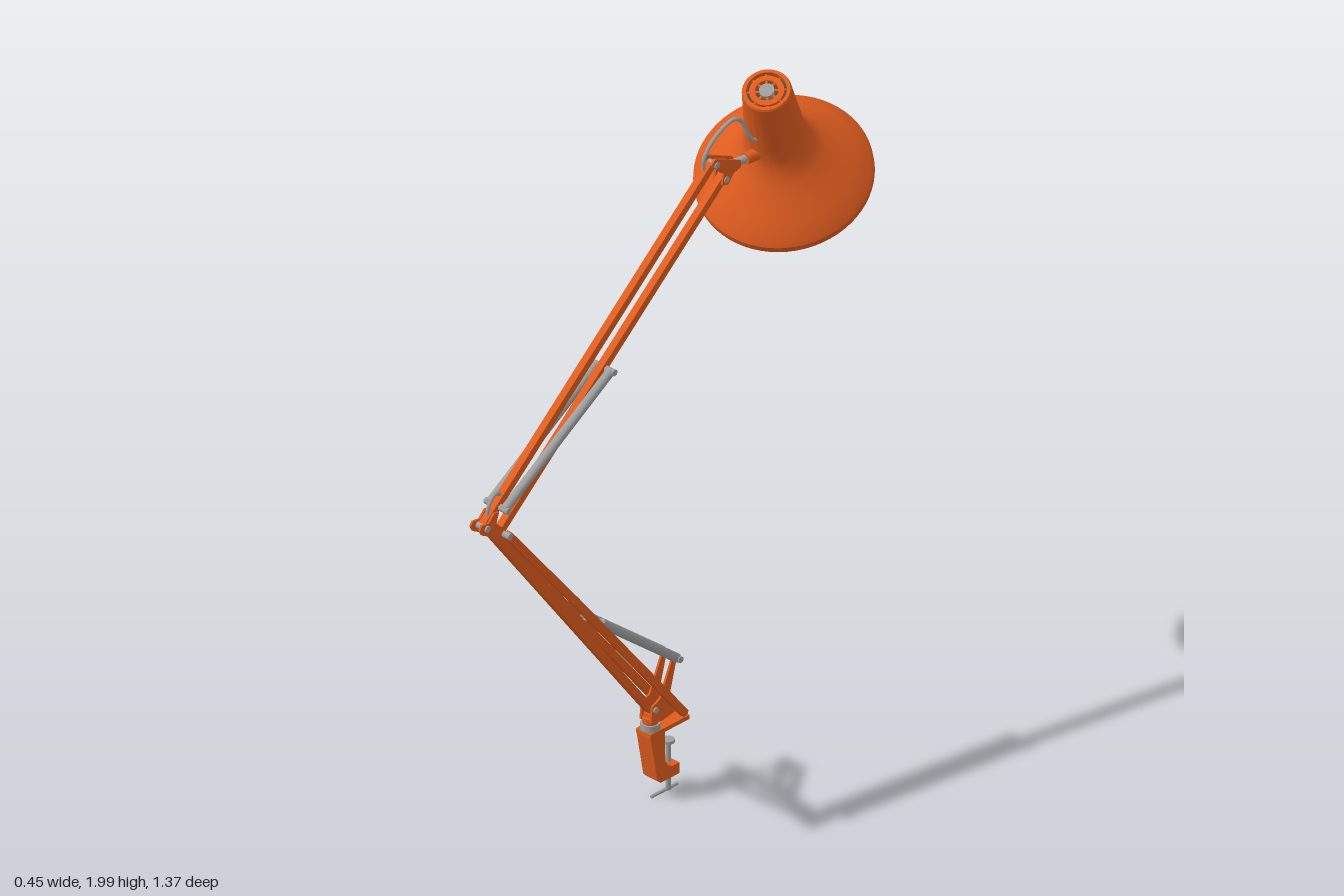
import * as THREE from 'three';
import { toCreasedNormals } from 'three/addons/utils/BufferGeometryUtils.js';

const mat = (name, color) => new THREE.MeshStandardMaterial({ name, color });
const V = (x, y, z) => new THREE.Vector3(x, y, z);

export function createModel() {
  const orange = mat('orangePaint', 0xdf5c1f);
  const steel = mat('steel', 0x9e9e9e);
  const dark = mat('darkMetal', 0x4c4a48);
  const silver = mat('silverLining', 0xb8b8b8);
  const glass = mat('bulbGlass', 0xa8a8a8);

  const lamp = new THREE.Group();
  lamp.name = 'deskLamp';
  // Everything but the shade is laid out around the plane of the arm
  const arm = new THREE.Group();
  arm.name = 'armAssembly';
  arm.position.x = 0.037;
  lamp.add(arm);

  const add = (parent, name, geo, material) => {
    const m = new THREE.Mesh(geo, material);
    m.name = name;
    parent.add(m);
    return m;
  };
  // Places a z-aligned geometry between two points
  const between = (name, geo, material, a, b) => {
    const m = add(arm, name, geo, material);
    m.position.copy(a).add(b).multiplyScalar(0.5);
    m.quaternion.setFromRotationMatrix(new THREE.Matrix4().lookAt(b, a, V(0, 1, 0)));
    return m;
  };
  const bar = (name, a, b, w, h) =>
    between(name, new THREE.BoxGeometry(w, h, a.distanceTo(b)), orange, a, b);
  const rod = (name, a, b, r, material = steel, sides = 16) =>
    between(name, new THREE.CylinderGeometry(r, r, a.distanceTo(b), sides).rotateX(Math.PI / 2), material, a, b);
  const pin = (name, y, z, half, r, material = steel) =>
    rod(name, V(-half, y, z), V(half, y, z), r, material);
  const wire = (name, pts, r) =>
    add(arm, name, new THREE.TubeGeometry(new THREE.CatmullRomCurve3(pts), 40, r, 8), steel);
  // Plate drawn as [z, y] corners, with thickness along x
  const plate = (name, pts, thick, x = 0) => {
    const shape = new THREE.Shape(pts.map(([z, y]) => new THREE.Vector2(z, y)));
    const geo = new THREE.ExtrudeGeometry(shape, { depth: thick, bevelEnabled: false });
    geo.translate(0, 0, -thick / 2).rotateY(-Math.PI / 2);
    add(arm, name, geo, orange).position.x = x;
  };
  const lathe = (pts, sides = 48, crease = 0.45) =>
    toCreasedNormals(new THREE.LatheGeometry(pts.map(([r, y]) => new THREE.Vector2(r, y)), sides), crease);

  // Smooth spring tubes, in pairs between two cross pins
  const springs = (name, a, b) => {
    for (const s of [-1, 1]) {
      const off = V(s * 0.026, 0, 0);
      rod(name, a.clone().add(off), b.clone().add(off), 0.0125, steel, 20);
    }
    for (const p of [a, b]) pin(name + 'Pin', p.y, p.z, 0.041, 0.009);
  };

  // Clamp: top jaw, tapered spine and lower jaw
  bar('clampTopJaw', V(0, 0.211, 0.076), V(0, 0.211, -0.066), 0.052, 0.012);
  plate('clampBody', [[0.075, 0.21], [0.05, 0.072], [0.038, 0.06], [-0.03, 0.06], [-0.03, 0.092],
    [-0.005, 0.092], [0.012, 0.1], [0.022, 0.12], [0.022, 0.21]], 0.05);
  rod('clampScrew', V(0, 0.008, -0.015), V(0, 0.155, -0.015), 0.007);
  rod('clampPad', V(0, 0.149, -0.015), V(0, 0.157, -0.015), 0.017);
  rod('clampHandle', V(0, 0.012, 0.047), V(0, 0.012, -0.048), 0.0045);

  // Swivel post and base bracket
  rod('swivelPost', V(0, 0.215, 0.05), V(0, 0.235, 0.05), 0.026);
  rod('swivelCollar', V(0, 0.235, 0.05), V(0, 0.252, 0.05), 0.021, orange);
  for (const s of [-1, 1])
    plate('baseBracket', [[0.068, 0.245], [0.063, 0.292], [0.035, 0.305], [-0.012, 0.412], [-0.027, 0.408],
      [0.002, 0.3], [-0.03, 0.262], [-0.026, 0.247], [0.03, 0.238]], 0.006, s * 0.018);
  plate('bracketBridge', [[0.06, 0.24], [0.06, 0.262], [0.025, 0.262], [0.025, 0.24]], 0.036);

  // Lower arm: one central bar and a pair that closes in on the elbow
  bar('lowerFrontBar', V(0, 0.275, 0.054), V(0, 1.072, 0.652), 0.022, 0.021);
  for (const s of [-1, 1]) {
    const foot = V(s * 0.05, 0.252, -0.022), knee = V(s * 0.047, 0.76, 0.381), top = V(s * 0.03, 1.036, 0.6);
    bar('lowerRearBar', foot, knee, 0.017, 0.021);
    bar('lowerRearBarTaper', knee, top, 0.017, 0.021);
  }
  pin('footPin', 0.255, -0.02, 0.058, 0.008, orange);
  pin('frontFootPin', 0.28, 0.053, 0.026, 0.008);
  springs('lowerSpring', V(0, 0.405, -0.02), V(0, 0.625, 0.255));

  // Elbow plates, pins and tightening knob
  for (const s of [-1, 1])
    plate('elbowPlate', [[0.688, 1.078], [0.68, 1.062], [0.605, 1.02], [0.59, 1.03], [0.596, 1.045],
      [0.628, 1.075], [0.618, 1.105], [0.635, 1.108], [0.655, 1.087], [0.68, 1.09]], 0.006, s * 0.016);
  pin('elbowUpperPin', 1.074, 0.662, 0.024, 0.009);
  pin('elbowLowerPin', 1.033, 0.6, 0.042, 0.009);
  rod('elbowKnob', V(-0.064, 1.033, 0.6), V(-0.05, 1.033, 0.6), 0.017, dark, 10);
  rod('elbowKnobStem', V(-0.05, 1.033, 0.6), V(-0.03, 1.033, 0.6), 0.008, dark);
  wire('elbowCable', [V(0, 1.075, 0.645), V(0, 1.12, 0.638), V(0, 1.148, 0.615), V(0, 1.14, 0.596), V(0, 1.115, 0.59)], 0.005);

  // Upper arm
  bar('upperTopBar', V(0, 1.075, 0.655), V(0, 1.79, -0.17), 0.021, 0.021);
  bar('upperBottomBar', V(0, 1.034, 0.6), V(0, 1.738, -0.215), 0.021, 0.021);
  springs('upperSpring', V(0, 1.11, 0.605), V(0, 1.355, 0.22));

  // Head bracket and the joint holding the shade
  for (const s of [-1, 1])
    plate('headBracket', [[-0.155, 1.797], [-0.17, 1.81], [-0.2, 1.797], [-0.262, 1.768], [-0.262, 1.748],
      [-0.235, 1.74], [-0.215, 1.715], [-0.195, 1.722], [-0.2, 1.755], [-0.175, 1.785]], 0.006, s * 0.014);
  pin('headUpperPin', 1.79, -0.175, 0.02, 0.009);
  pin('headLowerPin', 1.733, -0.21, 0.02, 0.009);
  rod('shadeJoint', V(0, 1.757, -0.235), V(0.012, 1.757, -0.345), 0.011);
  rod('shadeJointCollar', V(0.006, 1.757, -0.288), V(0.011, 1.757, -0.335), 0.016, orange);
  wire('headCable', [V(0, 1.785, -0.143), V(0.002, 1.815, -0.143), V(0.006, 1.855, -0.165), V(0.014, 1.893, -0.21),
    V(0.018, 1.9, -0.24), V(0.022, 1.888, -0.258), V(0.03, 1.825, -0.288), V(0.034, 1.815, -0.325)], 0.0055);

  // Shade, tilted about its own axis
  const head = new THREE.Group();
  head.name = 'shade';
  head.position.set(0, 1.61, -0.475);
  head.quaternion.setFromUnitVectors(V(0, 1, 0), V(0.093, 0.36, 0.16).normalize());
  lamp.add(head);
  const profile = [[0.231, 0], [0.231, 0.018], [0.222, 0.032], [0.192, 0.063], [0.155, 0.098], [0.118, 0.133],
    [0.094, 0.163], [0.082, 0.195], [0.077, 0.23], [0.064, 0.4]];
  add(head, 'shadeShell', lathe([[0.226, 0], ...profile, [0.061, 0.405], [0.052, 0.405], [0.052, 0.385]], 64), orange);
  const inner = profile.map(([r, y]) => [r - 0.005, y]).reverse();
  inner[0][1] = 0.38;
  add(head, 'shadeLining', lathe([[0, 0.38], ...inner], 64), silver);

  // Vented cap
  add(head, 'ventDisc', new THREE.CylinderGeometry(0.052, 0.052, 0.006, 32), dark).position.y = 0.387;
  add(head, 'ventRing', lathe([[0.045, 0.385], [0.045, 0.402], [0.03, 0.402], [0.03, 0.385]], 32), orange);
  add(head, 'capNut', new THREE.CylinderGeometry(0.02, 0.02, 0.016, 16), steel).position.y = 0.396;
  for (let i = 0; i < 4; i++) {
    const spoke = add(head, 'ventSpoke', new THREE.BoxGeometry(0.1, 0.012, 0.006), orange);
    spoke.position.y = 0.393;
    spoke.rotation.y = (i * Math.PI) / 4;
  }

  // Bulb and holder
  add(head, 'bulb', new THREE.SphereGeometry(0.06, 32, 20), glass).position.y = 0.12;
  add(head, 'bulbNeck', new THREE.CylinderGeometry(0.03, 0.042, 0.08, 24), glass).position.y = 0.195;
  add(head, 'bulbHolder', new THREE.CylinderGeometry(0.033, 0.033, 0.15, 24), dark).position.y = 0.305;

  return lamp;
}
